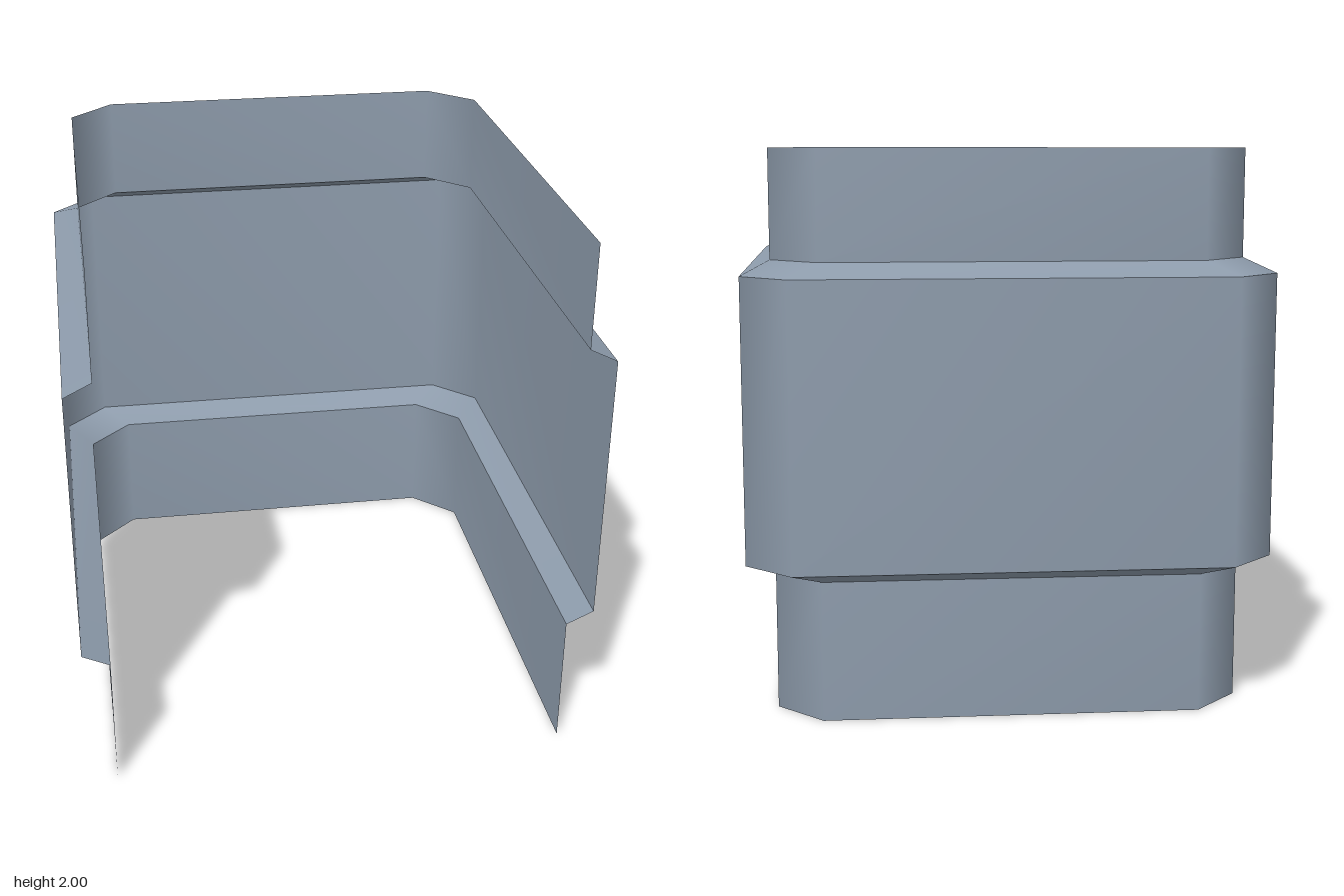
import * as THREE from 'three';

const steel = new THREE.MeshStandardMaterial({ color: 0x8d9bab, side: THREE.DoubleSide });
steel.name = 'blue grey steel';

// U-shaped plan with chamfered back corners, pushed outwards by "out"
function outline(out) {
  const side = [
    [0.835 + out, 0.967],
    [0.835 + out, -0.703 - out],
    [0.67 + out, -0.868 - out],
  ];
  const mirrored = side.map(([x, z]) => [-x, z]).reverse();
  return [...side, ...mirrored];
}

// One band of sheet between two outlines, smooth round the corners
function band(name, y0, out0, y1, out1) {
  const lower = outline(out0), upper = outline(out1);
  const n = lower.length;
  const positions = [], index = [];
  lower.forEach(([x, z]) => positions.push(x, y0, z));
  upper.forEach(([x, z]) => positions.push(x, y1, z));
  for (let i = 0; i < n - 1; i++) {
    index.push(i, i + 1, n + i + 1, i, n + i + 1, n + i);
  }
  const geometry = new THREE.BufferGeometry();
  geometry.setAttribute('position', new THREE.Float32BufferAttribute(positions, 3));
  geometry.setIndex(index);
  geometry.computeVertexNormals();
  const mesh = new THREE.Mesh(geometry, steel);
  mesh.name = name;
  return mesh;
}

export function createModel() {
  const group = new THREE.Group();
  group.name = 'wrapAroundPanel';
  const bulge = 0.1;
  group.add(
    band('lowerWall', 0, 0, 0.503, 0),
    band('lowerSlope', 0.503, 0, 0.55, bulge),
    band('middleWall', 0.55, bulge, 1.565, bulge),
    band('upperSlope', 1.565, bulge, 1.615, 0),
    band('upperWall', 1.615, 0, 2, 0),
  );
  return group;
}
